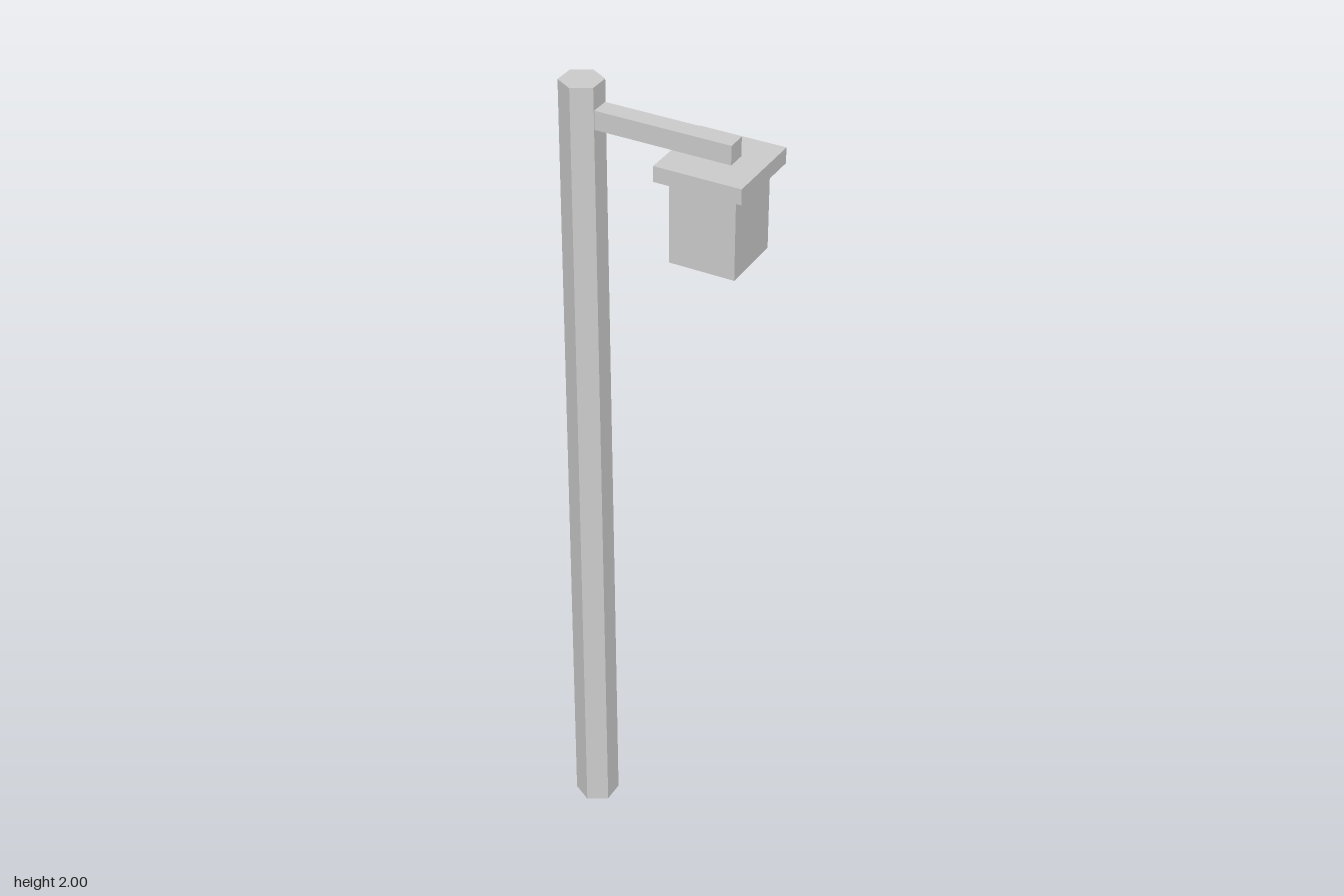
import * as THREE from 'three';

export function createModel() {
  const lampPost = new THREE.Group();
  lampPost.name = 'lampPost';
  const material = new THREE.MeshStandardMaterial({ color: 0xcccccc, flatShading: true });

  const add = (name, geometry, x, y, z = 0) => {
    const mesh = new THREE.Mesh(geometry, material);
    mesh.name = name;
    mesh.position.set(x, y, z);
    lampPost.add(mesh);
  };

  const postX = -0.189, lampX = 0.1345;

  // Slightly tapered six-sided post
  add('post', new THREE.CylinderGeometry(0.049, 0.0535, 2, 6), postX, 1);

  // Arm reaching from inside the post over the lamp
  const armEnd = 0.171;
  add('arm', new THREE.BoxGeometry(armEnd - postX, 0.044, 0.045), (armEnd + postX) / 2, 1.926);

  // Lamp hanging below the arm: flat roof and square lantern
  add('lampRoof', new THREE.BoxGeometry(0.2, 0.036, 0.2), lampX, 1.886);
  add('lantern', new THREE.BoxGeometry(0.152, 0.196, 0.152), lampX, 1.772);

  return lampPost;
}
